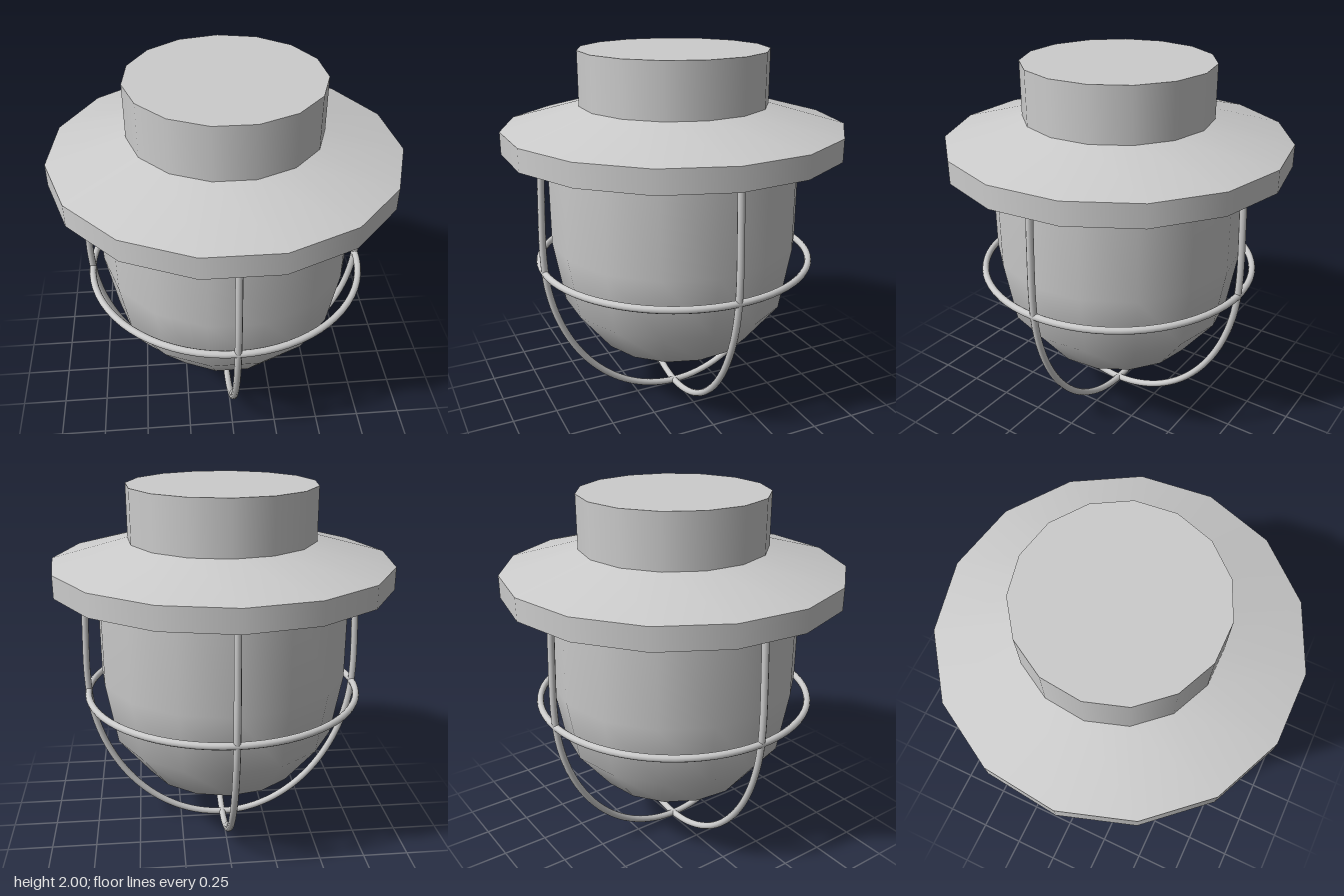
import * as THREE from 'three';

const SIDES = 15;
const AXIS_Z = 0.01; // odd-sided body: axis sits slightly forward of the box centre
const WIRE = 0.019;

export function createModel() {
  const model = new THREE.Group();
  model.name = 'cagedLamp';
  const mat = new THREE.MeshStandardMaterial({ color: 0xcccccc });

  function add(parent, name, geometry) {
    const mesh = new THREE.Mesh(geometry, mat);
    mesh.name = name;
    parent.add(mesh);
    return mesh;
  }

  // Turned part: each run of [radius, y] points is smooth, runs meet at sharp edges
  function turned(name, runs) {
    const group = new THREE.Group();
    group.name = name;
    for (const run of runs) {
      const points = run.map(([r, y]) => new THREE.Vector2(r, y));
      add(group, name + 'Surface', new THREE.LatheGeometry(points, SIDES, Math.PI));
    }
    model.add(group);
  }

  // Splits a profile into one sharp-edged run per segment
  const sharp = (pts) => pts.slice(1).map((p, i) => [pts[i], p]);

  // Hollow shade with its mounting neck
  turned('shade', sharp([
    [0.885, 1.48], [0.92, 1.48], [0.92, 1.6], [0.507, 1.715], [0.507, 2], [0, 2],
  ]));
  turned('shadeLining', sharp([
    [0, 1.69], [0.5, 1.69], [0.885, 1.58], [0.885, 1.48],
  ]));

  // Collar holding the glass
  turned('collar', sharp([[0.66, 1.55], [0.705, 1.55], [0.705, 1.65]]));

  // Glass dome with a flat bottom
  turned('glass', [
    [[0, 0.293], [0.2, 0.293]],
    [[0.2, 0.293], [0.44, 0.39], [0.625, 0.625], [0.685, 0.97], [0.685, 1.64]],
  ]);

  // Cage: two crossing hoops, half an ellipse below and tapering in at the top
  const half = [[0.725, 1.6], [0.742, 1.46], [0.755, 1.2]];
  const arc = [];
  for (let i = 0; i <= 16; i++) {
    const a = (i / 16) * Math.PI;
    arc.push([0.76 * Math.cos(a), 0.945 - (0.945 - WIRE) * Math.sin(a)]);
  }
  const mirrored = half.map(([x, y]) => [-x, y]).reverse();
  const path = new THREE.CatmullRomCurve3(
    [...half, ...arc, ...mirrored].map(([x, y]) => new THREE.Vector3(x, y, 0)));
  const cage = new THREE.Group();
  cage.name = 'cage';
  for (let i = 0; i < 2; i++) {
    const hoop = add(cage, 'cageHoop', new THREE.TubeGeometry(path, 96, WIRE, 10));
    hoop.rotation.y = i * Math.PI / 2;
  }
  const ring = add(cage, 'cageRing', new THREE.TorusGeometry(0.757, WIRE, 10, 72));
  ring.rotation.x = Math.PI / 2;
  ring.position.y = 0.857;
  model.add(cage);

  for (const part of model.children) part.position.z = AXIS_Z;
  return model;
}
